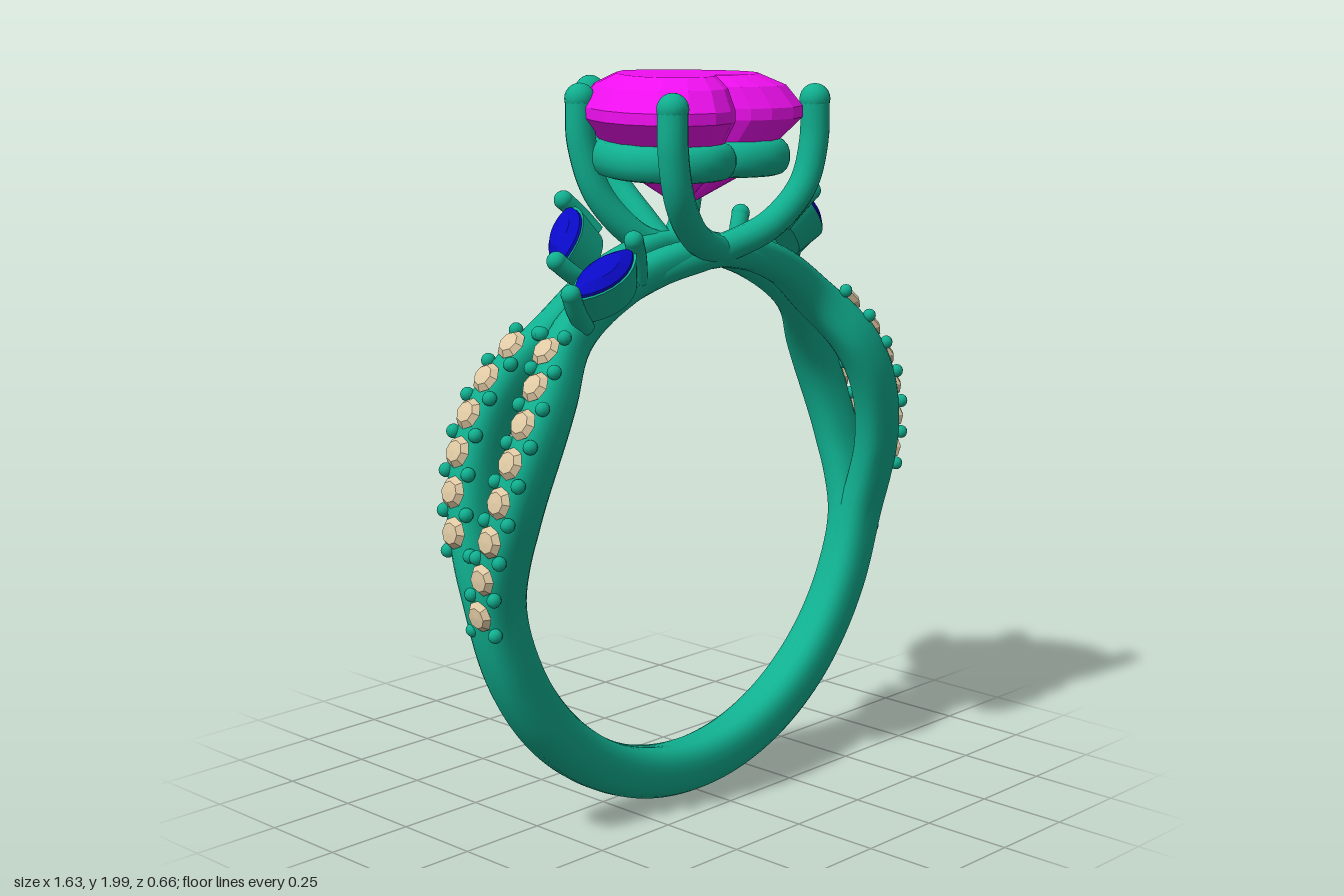
import * as THREE from 'three';
import { toCreasedNormals } from 'three/addons/utils/BufferGeometryUtils.js';

const V = (x, y, z) => new THREE.Vector3(x, y, z);
const CY = 0.805, CZ = 0.09, R = 0.728; // ring centre and mean radius

const metal = new THREE.MeshStandardMaterial({ color: 0x10b090 });
const gemMat = new THREE.MeshStandardMaterial({ color: 0xf010f0, flatShading: true });
const blueMat = new THREE.MeshStandardMaterial({ color: 0x0a0ac8, flatShading: true });
const paveMat = new THREE.MeshStandardMaterial({ color: 0xe0caa4, flatShading: true });

function add(parent, name, geometry, material, position) {
  const mesh = new THREE.Mesh(geometry, material);
  mesh.name = name;
  if (position) mesh.position.copy(position);
  parent.add(mesh);
  return mesh;
}

// Skin a list of equal-length closed rings of points
function loft(rings, closed = false) {
  const n = rings[0].length, m = rings.length, index = [];
  for (let i = 0; i < (closed ? m : m - 1); i++) {
    for (let j = 0; j < n; j++) {
      const a = i * n + j, b = ((i + 1) % m) * n + j;
      const c = i * n + (j + 1) % n, d = ((i + 1) % m) * n + (j + 1) % n;
      index.push(a, b, c, b, d, c);
    }
  }
  const g = new THREE.BufferGeometry().setFromPoints(rings.flat());
  g.setIndex(index);
  g.computeVertexNormals();
  return g;
}

// Stack scaled copies of a flat outline: levels are [y, scale]
const stack = (outline, levels, cz = 0) => loft(levels.map(([y, s]) =>
  outline.map(([x, z]) => V(x * s, y, cz + (z - cz) * s))));

// Strand profile by elevation angle: sideways offset, radial and axial half-thickness
const angles = [-90, -50, -25, -10, 0, 8, 25, 36, 50, 65, 90];
const profile = new THREE.CubicInterpolant(angles, [
  0.012, 0.07, 0.057, 0.012, 0.07, 0.057, 0.012, 0.07, 0.055, 0.018, 0.07, 0.054,
  0.048, 0.07, 0.054, 0.075, 0.07, 0.054, 0.102, 0.07, 0.054, 0.088, 0.068, 0.054,
  0.035, 0.06, 0.05, 0.05, 0.05, 0.045, 0.09, 0.042, 0.042], 3);
const strandAt = (deg) => [...profile.evaluate(deg)];

// One of two strands that merge at the bottom and part at the shoulders
function strandGeometry(side) {
  const rings = [];
  for (let i = 0; i < 160; i++) {
    const t = (i / 160) * Math.PI * 2;
    const fold = THREE.MathUtils.radToDeg(Math.asin(Math.sin(t)));
    const [off, a, b] = strandAt(fold);
    const ring = [];
    for (let j = 0; j < 20; j++) {
      const p = (j / 20) * Math.PI * 2, c = Math.cos(p), s = Math.sin(p);
      const r = R + a * Math.sign(c) * Math.abs(c) ** 0.8;
      ring.push(V(r * Math.cos(t), CY + r * Math.sin(t),
        CZ + side * off + b * Math.sign(s) * Math.abs(s) ** 0.8));
    }
    rings.push(ring);
  }
  return loft(rings, true);
}

// Heart outline, from the tip round the +x side to the cleft and back
const half = [[0.055, -0.245], [0.12, -0.205], [0.19, -0.135], [0.25, -0.03], [0.287, 0.06],
  [0.298, 0.15], [0.275, 0.23], [0.22, 0.295], [0.15, 0.322], [0.08, 0.31], [0.03, 0.28]];
const heart = [[0, -0.28], ...half, [0, 0.24], ...half.map(([x, z]) => [-x, z]).reverse()];

// Pointed oval outline
const marquise = (L, W) => Array.from({ length: 24 }, (_, i) => {
  const t = (i / 24) * Math.PI * 2, s = Math.sin(t);
  return [L * Math.cos(t), W * s * Math.abs(s) ** 0.6];
});

// Claw: tube with a rounded tip at its first point
function prong(parent, name, points, radius) {
  const pts = points.map((p) => V(...p));
  add(parent, name, new THREE.TubeGeometry(new THREE.CatmullRomCurve3(pts), 40, radius, 14), metal);
  add(parent, name + 'Tip', new THREE.SphereGeometry(radius * 1.04, 16, 12), metal, pts[0]);
}

// Marquise stone in a cup with a claw at each end
function sideStone(parent, center, axis, normal) {
  const g = new THREE.Group();
  g.name = 'sideStone';
  const x = V(...axis).normalize(), n = V(...normal);
  const y = n.addScaledVector(x, -n.dot(x)).normalize();
  g.quaternion.setFromRotationMatrix(new THREE.Matrix4().makeBasis(x, y, x.clone().cross(y)));
  g.position.set(...center);
  const outline = marquise(0.108, 0.056);
  add(g, 'marquiseStone', stack(outline,
    [[-0.03, 0], [0, 1], [0.01, 0.98], [0.028, 0.6], [0.032, 0]]), blueMat);
  add(g, 'cup', toCreasedNormals(stack(outline,
    [[-0.085, 0], [-0.085, 0.9], [0.002, 1.1], [0.002, 0.94], [-0.035, 0]]), 0.7), metal);
  for (const s of [-1, 1])
    prong(g, 'stoneClaw', [[s * 0.122, 0.025, 0], [s * 0.12, -0.03, 0], [s * 0.105, -0.1, 0]], 0.025);
  parent.add(g);
}

// Row of small stones with bead pairs, following a strand
function paveRow(parent, side, count) {
  const stone = new THREE.LatheGeometry([[0, -0.03], [0.042, 0], [0.028, 0.015], [0, 0.017]]
    .map(([x, y]) => new THREE.Vector2(x, y)), 8);
  const bead = new THREE.SphereGeometry(0.019, 10, 8);
  const at = (deg, r, dz) => {
    const t = THREE.MathUtils.degToRad(deg);
    return V(r * Math.cos(t), CY + r * Math.sin(t), CZ + side * strandAt(deg)[0] + dz);
  };
  for (let i = 0; i <= count; i++) {
    const deg = 42 - i * 7.3;
    for (const dz of [-0.042, 0.042]) add(parent, 'bead', bead, metal, at(deg + 3.65, 0.79, dz));
    if (i === count) break;
    const m = add(parent, 'paveStone', stone, paveMat, at(deg, 0.798, 0));
    m.rotation.z = THREE.MathUtils.degToRad(deg - 90);
  }
}

export function createModel() {
  const model = new THREE.Group();
  model.name = 'ring';

  // Band
  for (const s of [-1, 1]) add(model, 'bandStrand', strandGeometry(s), metal);

  // Shoulders: the second is the first turned half round the ring's axis
  for (const k of [0, 1]) {
    const shoulder = new THREE.Group();
    shoulder.name = k ? 'rightShoulder' : 'leftShoulder';
    paveRow(shoulder, -1, 8);
    paveRow(shoulder, 1, 6);
    sideStone(shoulder, [0.415, 1.515, -0.005], [0.2, -0.11, 0.01], [0.47, 0.85, -0.22]);
    sideStone(shoulder, [0.375, 1.595, 0.175], [0.15, -0.13, -0.13], [0.68, 0.6, 0.19]);
    shoulder.rotation.y = k * Math.PI;
    shoulder.position.z = k * 2 * CZ;
    model.add(shoulder);
  }

  // Centre stone: pavilion, girdle, crown and table
  add(model, 'heartStone', stack(heart, [[1.64, 0], [1.73, 0.5], [1.885, 1], [1.915, 1],
    [1.97, 0.86], [2, 0.64], [2, 0]], 0.06), gemMat);

  // Gallery rail under the stone
  const railPath = new THREE.CatmullRomCurve3(
    heart.map(([x, z]) => V(x * 0.8, 0, 0.05 + (z - 0.05) * 0.8)), true);
  const rail = new THREE.TubeGeometry(railPath, 120, 0.034, 14, true);
  rail.scale(1, 1.4, 1);
  add(model, 'galleryRail', rail, metal, V(0, 1.78, 0));

  // Claws: two in front that cross over, two at the back and one at the tip
  for (const s of [-1, 1]) {
    prong(model, 'frontClaw', [[s * 0.275, 1.93, 0.29], [s * 0.273, 1.82, 0.29], [s * 0.24, 1.7, 0.28],
      [s * 0.15, 1.6, 0.245], [0, 1.54, 0.195], [-s * 0.18, 1.5, 0.16], [-s * 0.34, 1.44, 0.13]], 0.04);
    prong(model, 'backClaw', [[s * 0.208, 1.935, -0.115], [s * 0.208, 1.82, -0.11],
      [s * 0.175, 1.68, -0.08], [s * 0.09, 1.57, -0.03], [0, 1.525, 0]], 0.04);
  }
  prong(model, 'tipClaw', [[0, 1.94, -0.29], [0, 1.83, -0.275], [0, 1.7, -0.2],
    [0, 1.6, -0.09], [0, 1.525, 0]], 0.04);

  return model;
}
